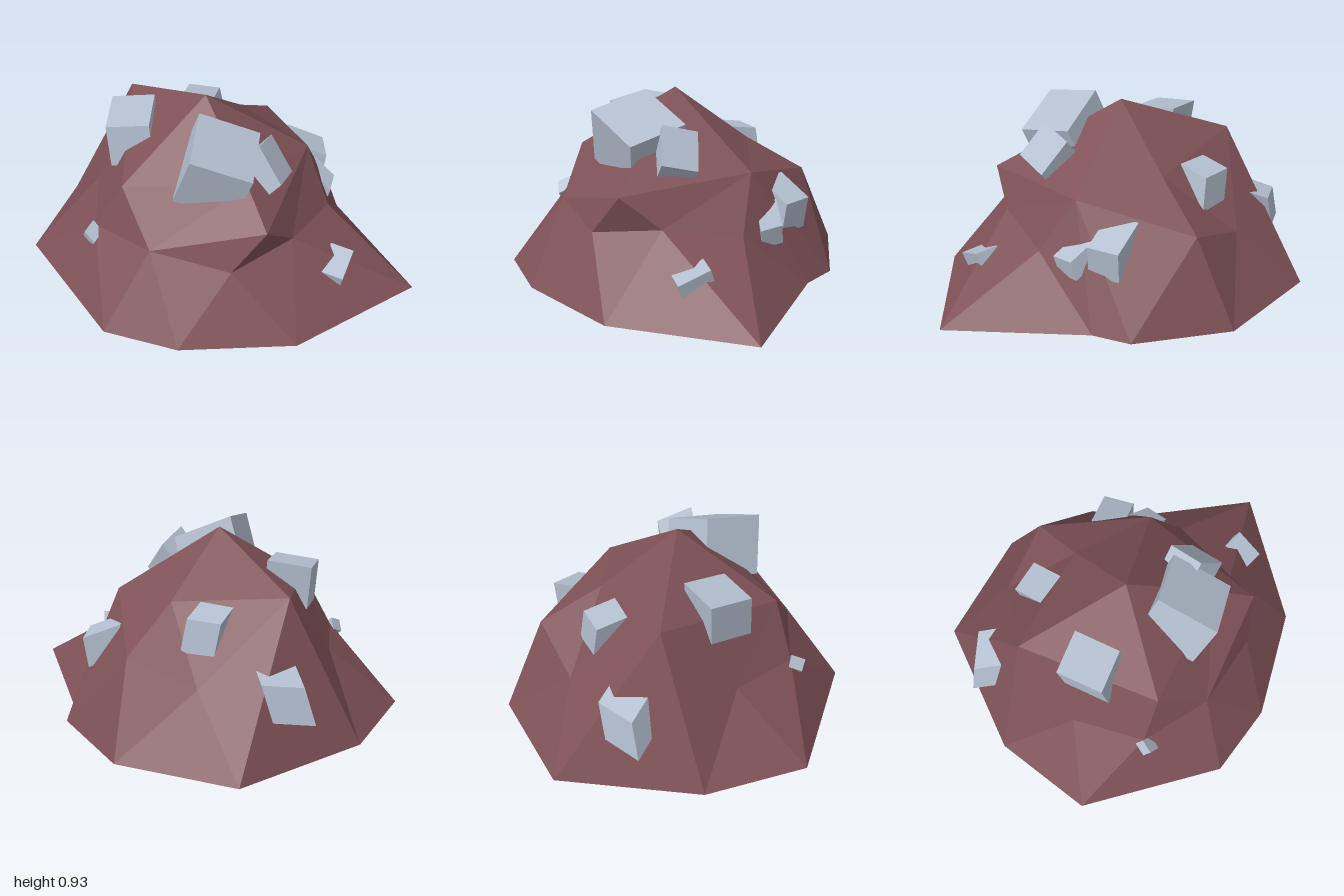
import * as THREE from 'three';

const ROCK = new THREE.MeshStandardMaterial({ color: 0x7f5257, flatShading: true });
const STONE = new THREE.MeshStandardMaterial({ color: 0xb4c0d0, flatShading: true });

// Faceted solid from named corners; every triangle is turned away from the centre
function solid(name, corners, faces, centre, material) {
  const c = new THREE.Vector3(...centre), n = new THREE.Vector3(), mid = new THREE.Vector3();
  const out = [];
  for (const face of faces) {
    const [p, q, r] = face.map((k) => new THREE.Vector3(...corners[k]));
    const tri = new THREE.Triangle(p, q, r);
    tri.getNormal(n);
    tri.getMidpoint(mid);
    const order = n.dot(mid.sub(c)) < 0 ? [p, r, q] : [p, q, r];
    for (const v of order) out.push(v.x, v.y, v.z);
  }
  const g = new THREE.BufferGeometry();
  g.setAttribute('position', new THREE.Float32BufferAttribute(out, 3));
  g.computeVertexNormals();
  const mesh = new THREE.Mesh(g, material);
  mesh.name = name;
  return mesh;
}

// Leaning block from one corner and its three edges
function block(name, corner, u, v, w) {
  const corners = [];
  for (let i = 0; i < 8; i++) {
    corners.push(corner.map((a, k) => a + (i & 1 ? u[k] : 0) + (i & 2 ? v[k] : 0) + (i & 4 ? w[k] : 0)));
  }
  const centre = corner.map((a, k) => a + (u[k] + v[k] + w[k]) / 2);
  const quads = ['0132', '4576', '0154', '2376', '0264', '1375'];
  const faces = quads.flatMap((q) => [[q[0], q[1], q[2]], [q[0], q[2], q[3]]]);
  return solid(name, corners, faces, centre, STONE);
}

export function createModel() {
  const model = new THREE.Group();
  model.name = 'rockMound';

  // Mound: foot outline (0-9), shoulder corners (a-n) and peak (P)
  const foot = [[-1, 0.24], [-0.92, -0.28], [-0.5, -0.86], [0.11, -0.85], [0.51, -0.54],
    [0.57, -0.35], [1, 0.24], [0.46, 0.73], [-0.1, 0.85], [-0.48, 0.79]];
  const corners = {
    P: [-0.1, 0.917, 0.02], O: [0, 0, 0],
    a: [-0.22, 0.33, -0.63], b: [0.13, 0.44, -0.63],
    c: [-0.56, 0.715, -0.32], d: [0.02, 0.63, -0.34],
    e: [-0.68, 0.34, 0.03], f: [0.4, 0.575, -0.11],
    g: [0.53, 0.31, 0.02], h: [-0.45, 0.59, 0.385],
    i: [-0.6, 0.33, 0.39], j: [-0.28, 0.37, 0.58],
    k: [0.12, 0.32, 0.615], l: [0.28, 0.53, 0.55],
    m: [0.385, 0.37, 0.38], n: [0.16, 0.66, 0.37],
  };
  foot.forEach(([x, z], q) => { corners[q] = [x, 0, z]; });
  const skirt = '01e 1ce 12c 2ac 23a 3ba 34b 4fb 45f 5gf 56g 6mg 67m 7km 78k 8jk 89j 9ij 90i 0ei';
  const crown = 'ieh ihj ceh Pch cad abd Pcd bdf Pdf Phn hjn jnl jkl kml lmf nlf Pnf fmg';
  const faces = `${skirt} ${crown}`.split(' ').map((s) => [...s]);
  foot.forEach((_, q) => faces.push(['O', q, (q + 1) % foot.length]));
  model.add(solid('mound', corners, faces, [-0.05, 0.15, 0], ROCK));

  // Stones lodged in the slopes: corner, then three edges
  const stones = {
    frontLargeStone: [[-0.1, 0.925, 0.19], [0.285, -0.125, -0.06], [0.01, -0.065, 0.31], [-0.1, -0.28, -0.06]],
    frontSideStone: [[0.2, 0.82, 0.27], [0.035, -0.05, -0.18], [0.115, -0.16, 0.07], [-0.08, -0.1, -0.01]],
    shoulderStone: [[-0.6, 0.79, -0.08], [0.215, 0.02, -0.02], [0.02, -0.03, 0.23], [0.02, -0.22, 0.02]],
    backUpperStone: [[-0.29, 0.62, -0.51], [0.17, 0, 0.01], [-0.01, 0.03, 0.17], [0.03, -0.17, -0.01]],
    backLowerStone: [[-0.7, 0.38, -0.54], [0.18, 0.02, -0.08], [0.1, 0.06, 0.16], [-0.06, -0.18, 0]],
    sideUpperStone: [[0.27, 0.495, -0.39], [0.19, -0.085, -0.03], [0.035, 0, 0.16], [-0.02, -0.16, 0.01]],
    sideLowerStone: [[0.42, 0.42, -0.25], [0.125, -0.09, 0.05], [-0.01, -0.01, 0.12], [-0.02, -0.1, -0.02]],
    footStone: [[0.57, 0.27, 0.27], [0.115, -0.01, 0.03], [-0.04, -0.06, 0.15], [-0.01, -0.075, -0.03]],
    pebble: [[-0.61, 0.36, 0.39], [0.05, -0.05, 0.02], [-0.03, -0.03, 0.06], [-0.02, -0.05, -0.03]],
  };
  for (const [name, args] of Object.entries(stones)) model.add(block(name, ...args));
  return model;
}
